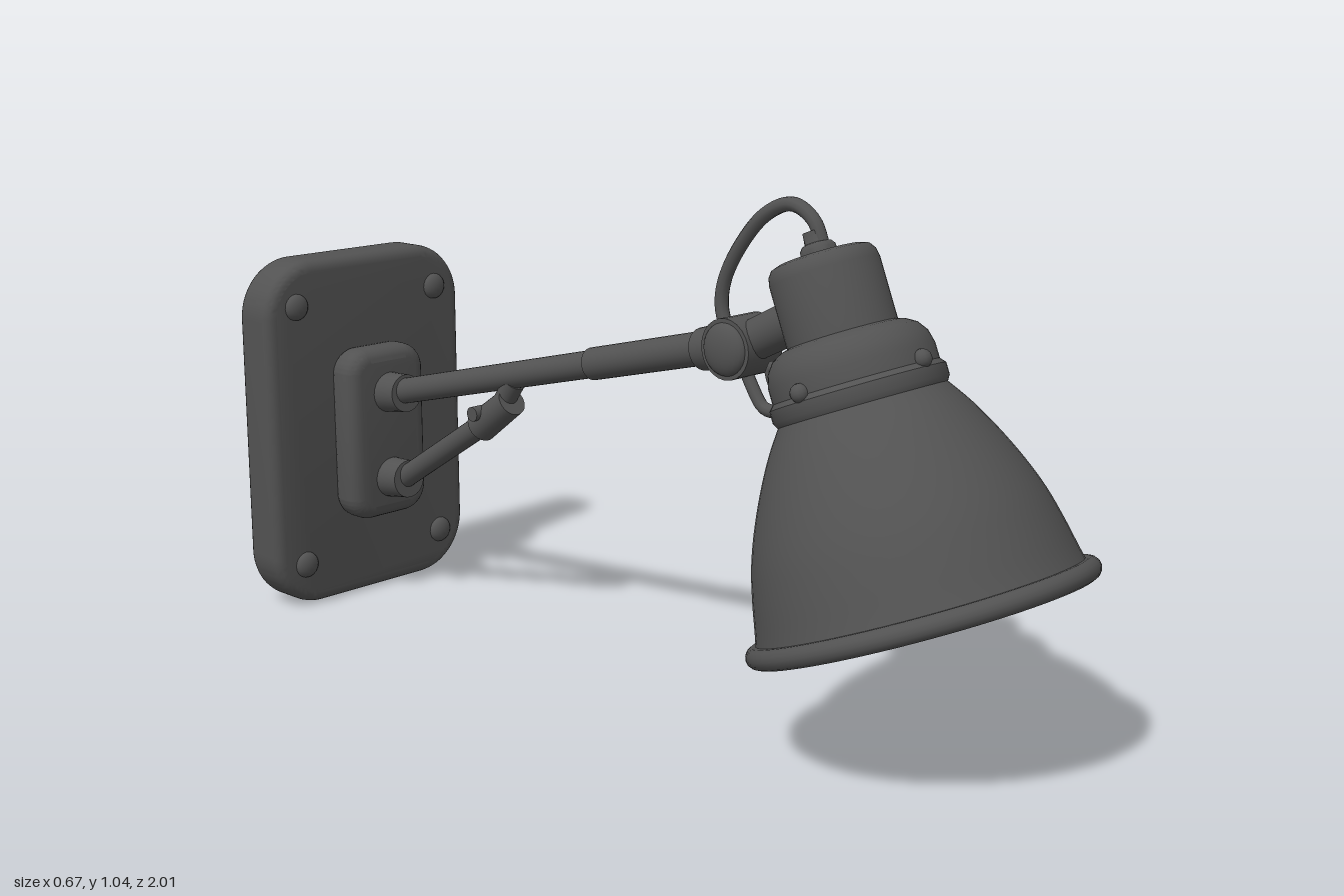
import * as THREE from 'three';
import { toCreasedNormals } from 'three/addons/utils/BufferGeometryUtils.js';

export function createModel() {
  const dark = new THREE.MeshStandardMaterial({ color: 0x525252 });
  dark.name = 'dark grey metal';
  const cream = new THREE.MeshStandardMaterial({ color: 0xcfc0ac });
  cream.name = 'cream enamel';

  const lamp = new THREE.Group();
  lamp.name = 'wallLamp';

  const add = (name, geometry, parent = lamp, material = dark) => {
    const mesh = new THREE.Mesh(geometry, material);
    mesh.name = name;
    parent.add(mesh);
    return mesh;
  };
  const lathe = (pts, segments = 64) => toCreasedNormals(
    new THREE.LatheGeometry(pts.map(([r, y]) => new THREE.Vector2(r, y)), segments), 0.7);
  const v = (y, z, x = 0) => new THREE.Vector3(x, y, z);

  // Straight cylinder between two points
  const rod = (name, a, b, r0, r1 = r0) => {
    const dir = b.clone().sub(a);
    const mesh = add(name, new THREE.CylinderGeometry(r1, r0, dir.length(), 24));
    mesh.position.copy(a).add(b).multiplyScalar(0.5);
    mesh.quaternion.setFromUnitVectors(new THREE.Vector3(0, 1, 0), dir.normalize());
    return mesh;
  };
  const tube = (name, pts, r) =>
    add(name, new THREE.TubeGeometry(new THREE.CatmullRomCurve3(pts), 48, r, 10));

  // Plate with rounded corners and softened edges, from z0 to z1
  const plate = (name, w, h, corner, bevel, y, z0, z1) => {
    const x = w / 2 - bevel, t = h / 2 - bevel, c = corner - bevel;
    const s = new THREE.Shape();
    s.absarc(x - c, t - c, c, 0, Math.PI / 2);
    s.absarc(-x + c, t - c, c, Math.PI / 2, Math.PI);
    s.absarc(-x + c, -t + c, c, Math.PI, Math.PI * 1.5);
    s.absarc(x - c, -t + c, c, Math.PI * 1.5, Math.PI * 2);
    const g = new THREE.ExtrudeGeometry(s, {
      depth: z1 - z0 - 2 * bevel, bevelSize: bevel, bevelThickness: bevel, bevelSegments: 5, curveSegments: 12,
    });
    g.translate(0, y, z0 + bevel);
    return add(name, toCreasedNormals(g, 0.6));
  };

  // Wall plate, rivets and raised mount
  plate('wallPlate', 0.56, 0.8, 0.13, 0.025, 0.4, -1, -0.888);
  for (const x of [-0.2, 0.2]) for (const y of [0.1, 0.7]) {
    const rivet = add('rivet', new THREE.SphereGeometry(0.03, 16, 10));
    rivet.scale.z = 0.6;
    rivet.position.set(x, y, -0.888);
  }
  plate('mountBlock', 0.22, 0.4, 0.06, 0.03, 0.39, -0.9, -0.815);

  // Arm, strut and their sockets
  const armA = v(0.48, -0.83), armB = v(0.735, 0.2);
  const onArm = (t) => armA.clone().lerp(armB, t);
  rod('arm', armA, armB, 0.029);
  rod('armSleeve', onArm(0.66), armB, 0.034);
  rod('upperSocket', v(0.485, -0.83), v(0.492, -0.755), 0.047, 0.043);
  rod('lowerSocket', v(0.283, -0.83), v(0.29, -0.755), 0.047, 0.043);
  rod('strut', v(0.272, -0.8), v(0.475, -0.475), 0.025);
  rod('strutSleeve', v(0.458, -0.5), v(0.53, -0.4), 0.036, 0.033);
  rod('strutBracket', v(0.485, -0.455), v(0.575, -0.39), 0.024);
  rod('strutPin', v(0.495, -0.48, -0.045), v(0.495, -0.48, 0.045), 0.016);

  // Swivel joint between arm and head
  const joint = v(0.742, 0.255);
  rod('jointBarrel', v(0.742, 0.255, -0.05), v(0.742, 0.255, 0.05), 0.06);
  for (const s of [-1, 1]) {
    const cap = add('jointCap', new THREE.SphereGeometry(0.052, 24, 14));
    cap.scale.x = 0.45;
    cap.position.set(s * 0.048, joint.y, joint.z);
  }
  rod('jointCollar', v(0.722, 0.155), v(0.738, 0.225), 0.042, 0.048);
  rod('headBracket', joint, v(0.825, 0.42), 0.04, 0.042);

  // Tilted head, built upright around its own axis with the rim at zero
  const head = new THREE.Group();
  head.name = 'head';
  head.position.set(0, 0.31, 0.695);
  head.rotation.x = -0.385;
  lamp.add(head);

  const profile = [[0.313, 0], [0.304, 0.04], [0.292, 0.1], [0.277, 0.16], [0.255, 0.22],
    [0.225, 0.285], [0.192, 0.345], [0.158, 0.395]];
  const curve = new THREE.SplineCurve(profile.map(([r, y]) => new THREE.Vector2(r, y)));
  const outer = curve.getPoints(28).map((p) => [p.x, p.y]);
  add('shade', lathe(outer), head);
  const inner = outer.map(([r, y]) => [r - 0.012, y - 0.004]).reverse();
  add('shadeLining', lathe([[0.001, 0.391], ...inner]), head, cream);
  const rim = add('shadeRim', new THREE.TorusGeometry(0.313, 0.02, 14, 72), head);
  rim.rotation.x = Math.PI / 2;

  // Collar, neck and cable gland
  add('collar', lathe([[0.145, 0.385], [0.16, 0.39], [0.167, 0.402], [0.167, 0.425], [0.158, 0.435],
    [0.158, 0.465], [0.152, 0.49], [0.138, 0.51], [0.118, 0.522], [0.1, 0.527]]), head);
  add('neck', lathe([[0.105, 0.5], [0.105, 0.645], [0.102, 0.661], [0.094, 0.672], [0.08, 0.677],
    [0.0, 0.679]], 48), head);
  add('cableGland', lathe([[0.034, 0.67], [0.034, 0.69], [0.028, 0.698], [0.022, 0.7], [0.02, 0.722],
    [0, 0.724]], 24), head);
  for (let i = 0; i < 4; i++) {
    const a = (i * Math.PI) / 2;
    const screw = add('collarScrew', new THREE.SphereGeometry(0.018, 12, 8), head);
    screw.position.set(Math.cos(a) * 0.16, 0.44, Math.sin(a) * 0.16);
  }

  // Cable from the gland to the joint, and the loop below it
  tube('cable', [v(0.95, 0.45), v(1.0, 0.425), v(1.025, 0.375), v(1.0, 0.31), v(0.93, 0.245),
    v(0.86, 0.208), v(0.81, 0.203), v(0.75, 0.225)], 0.014);
  tube('cableLoop', [v(0.73, 0.25), v(0.67, 0.28), v(0.628, 0.315), v(0.635, 0.36), v(0.69, 0.38),
    v(0.71, 0.33), v(0.67, 0.345), v(0.65, 0.4), v(0.66, 0.45)], 0.013);

  return lamp;
}
